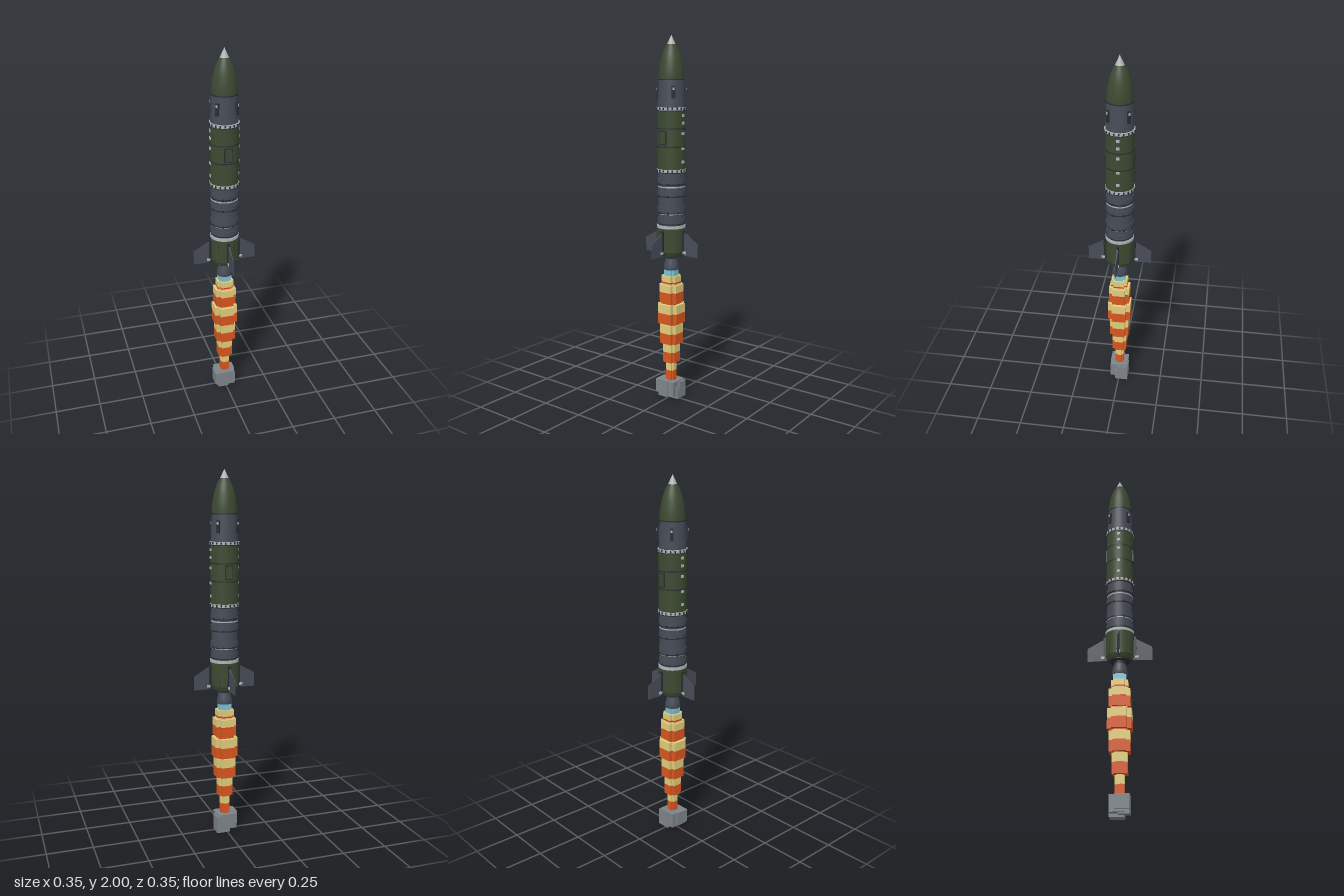
import * as THREE from 'three';

const mat = (name, color) => Object.assign(new THREE.MeshStandardMaterial({ color }), { name });

export function createModel() {
  const green = mat('olive green', 0x3c4a32);
  const slate = mat('slate grey', 0x474c57);
  const dark = mat('dark grey', 0x2a2d34);
  const silver = mat('silver', 0xb0b3b6);
  const yellow = mat('flame yellow', 0xe2ce7c);
  const orange = mat('flame orange', 0xd8571f);
  const red = mat('flame red', 0xe23f22);
  const cyan = mat('flame cyan', 0x7cc3d6);
  const smoke = mat('smoke grey', 0x7d8489);

  const root = new THREE.Group();
  root.name = 'missile';

  const add = (name, geo, material, x = 0, y = 0, z = 0, parent = root) => {
    const m = new THREE.Mesh(geo, material);
    m.name = name;
    m.position.set(x, y, z);
    parent.add(m);
    return m;
  };
  const box = (name, w, h, d, material, x, y, z, parent) =>
    add(name, new THREE.BoxGeometry(w, h, d), material, x, y, z, parent);
  // Cylinder given by its bottom and top heights and radii
  const tube = (name, y0, y1, r0, r1, material, open = false) =>
    add(name, new THREE.CylinderGeometry(r1, r0, y1 - y0, 40, 1, open), material, 0, (y0 + y1) / 2, 0);
  // Repeats a part around the axis; inside each group +z points outward
  const around = (name, count, offset, build) => {
    for (let i = 0; i < count; i++) {
      const g = new THREE.Group();
      g.name = name;
      g.rotation.y = offset + (i * Math.PI * 2) / count;
      build(g, i);
      root.add(g);
    }
  };

  // Nose: silver tip on a curved ogive
  tube('noseTip', 1.95, 2, 0.024, 0.0005, silver);
  const ogive = [[0.068, 1.77], [0.066, 1.81], [0.06, 1.85], [0.051, 1.89], [0.038, 1.925], [0.024, 1.952]];
  add('noseCone', new THREE.LatheGeometry(
    new THREE.SplineCurve(ogive.map(p => new THREE.Vector2(...p))).getPoints(16), 40), green);

  // Guidance section with four diagonal sensor housings
  tube('noseSeam', 1.768, 1.774, 0.07, 0.07, dark);
  tube('guidanceSection', 1.62, 1.77, 0.073, 0.068, slate);
  around('sensorHousing', 4, Math.PI / 4, g => {
    box('sensorBox', 0.018, 0.065, 0.014, dark, 0, 1.705, 0.072, g);
    box('sensorLens', 0.01, 0.014, 0.004, silver, 0, 1.723, 0.08, g);
  });

  // Main green body with seams
  tube('warheadBody', 1.295, 1.615, 0.0755, 0.0755, green);
  [1.515, 1.42].forEach(y => tube('bodySeam', y - 0.003, y + 0.003, 0.0768, 0.0768, dark));
  [0, Math.PI].forEach(a => {
    const g = new THREE.Group();
    g.name = 'bodyFittings';
    g.rotation.y = a;
    root.add(g);
    // Hatch on the front and back
    box('hatchFrame', 0.044, 0.075, 0.008, dark, 0, 1.468, 0.073, g);
    box('hatchDoor', 0.034, 0.064, 0.008, green, 0, 1.468, 0.0742, g);
    // Lug plates down both flanks
    [1.585, 1.545, 1.49, 1.41, 1.34].forEach(y => box('lugPlate', 0.008, 0.014, 0.018, silver, 0.0755, y, 0, g));
  });

  // Bolted joint rings
  [[1.62, 0.079], [1.292, 0.079], [0.988, 0.078]].forEach(([y, r], k) => {
    tube('jointRing', y - 0.008, y + 0.008, r, r, silver);
    tube('jointGroove', y - 0.013, y - 0.008, r - 0.002, r - 0.002, dark);
    if (k < 2) around('ringBolt', 20, 0.08, g => box('bolt', 0.007, 0.012, 0.006, dark, 0, y, r, g));
  });

  // Ribbed motor section
  tube('motorSection', 0.98, 1.285, 0.071, 0.071, slate);
  [1.235, 1.17, 1.08, 1.02].forEach(y => {
    tube('motorRib', y - 0.014, y + 0.014, 0.0745, 0.0745, slate);
    tube('motorBand', y - 0.019, y - 0.013, 0.076, 0.076, dark);
  });
  [1.205, 1.06].forEach(y => tube('motorTrim', y - 0.003, y + 0.003, 0.073, 0.073, silver));
  around('bandClip', 8, Math.PI / 8, g =>
    [1.22, 1.155, 1.065].forEach(y => box('clip', 0.01, 0.012, 0.006, dark, 0, y, 0.075, g)));

  // Tail section
  tube('tailBody', 0.85, 0.98, 0.075, 0.077, green);
  tube('tailSkirt', 0.828, 0.85, 0.066, 0.075, green);
  tube('tailPlate', 0.822, 0.829, 0.058, 0.058, dark);

  // Four swept fins, tapered in thickness toward the tip
  const fin = new THREE.Shape([[0.072, 0.83], [0.175, 0.828], [0.175, 0.905], [0.072, 0.963]]
    .map(p => new THREE.Vector2(...p)));
  const finGeo = new THREE.ExtrudeGeometry(fin, { depth: 1, bevelEnabled: false });
  const pos = finGeo.attributes.position;
  for (let i = 0; i < pos.count; i++) {
    const t = (pos.getX(i) - 0.072) / 0.103;
    pos.setZ(i, (pos.getZ(i) - 0.5) * (0.009 - 0.006 * t));
  }
  finGeo.computeVertexNormals();
  around('finAssembly', 4, 0, g => {
    add('fin', finGeo, slate, 0, 0, 0, g).rotation.y = -Math.PI / 2;
    box('finRoot', 0.013, 0.135, 0.022, dark, 0, 0.9, 0.078, g);
    box('finBracket', 0.015, 0.014, 0.02, silver, 0, 0.848, 0.092, g);
  });
  around('tailRail', 4, Math.PI / 4, g => box('rail', 0.012, 0.12, 0.006, green, 0, 0.91, 0.077, g));

  // Engine nozzle
  const bell = [[0.03, 0.83], [0.028, 0.815], [0.034, 0.795], [0.04, 0.77], [0.043, 0.745], [0.036, 0.745], [0.028, 0.79]];
  const nozzleMat = slate.clone();
  nozzleMat.side = THREE.DoubleSide;
  add('nozzle', new THREE.LatheGeometry(bell.map(p => new THREE.Vector2(...p)), 32), nozzleMat);
  tube('nozzleCollar', 0.808, 0.822, 0.032, 0.032, dark);

  // Exhaust flame: stacked cross-shaped blocks, yellow above orange
  const cross = (name, y0, y1, a, b, material) =>
    [[a, b], [b, a]].forEach(([w, d]) => box(name, w * 2, y1 - y0, d * 2, material, 0, (y0 + y1) / 2, 0));
  cross('flameCore', 0.7, 0.755, 0.034, 0.022, cyan);
  cross('flameTop', 0.655, 0.71, 0.045, 0.029, yellow);
  cross('flameGlow', 0.668, 0.676, 0.0455, 0.0295, red);
  [[0.66, 0.615, 0.56, 0.057, 0.036], [0.55, 0.5, 0.44, 0.064, 0.04], [0.432, 0.382, 0.322, 0.054, 0.035],
    [0.32, 0.27, 0.21, 0.04, 0.026], [0.208, 0.16, 0.1, 0.025, 0.015]].forEach(([top, mid, low, a, b]) => {
    cross('flameYellow', mid, top, a, b, yellow);
    cross('flameOrange', low, mid, a, b, orange);
  });
  cross('flameGlow', 0.612, 0.618, 0.0575, 0.0365, red);
  cross('flameNeck', 0.545, 0.565, 0.045, 0.034, orange);
  cross('flameNeck', 0.43, 0.442, 0.045, 0.034, orange);

  // Blocky smoke puff
  box('smokePuff', 0.105, 0.085, 0.1, smoke, -0.003, 0.06, 0);
  box('smokePuff', 0.08, 0.075, 0.075, smoke, -0.028, 0.067, 0.016);
  box('smokePuff', 0.075, 0.07, 0.075, smoke, 0.022, 0.035, -0.016);
  box('smokePuff', 0.07, 0.06, 0.06, smoke, 0.025, 0.065, -0.024);
  box('smokePuff', 0.06, 0.05, 0.06, smoke, -0.02, 0.035, 0.024);

  return root;
}
